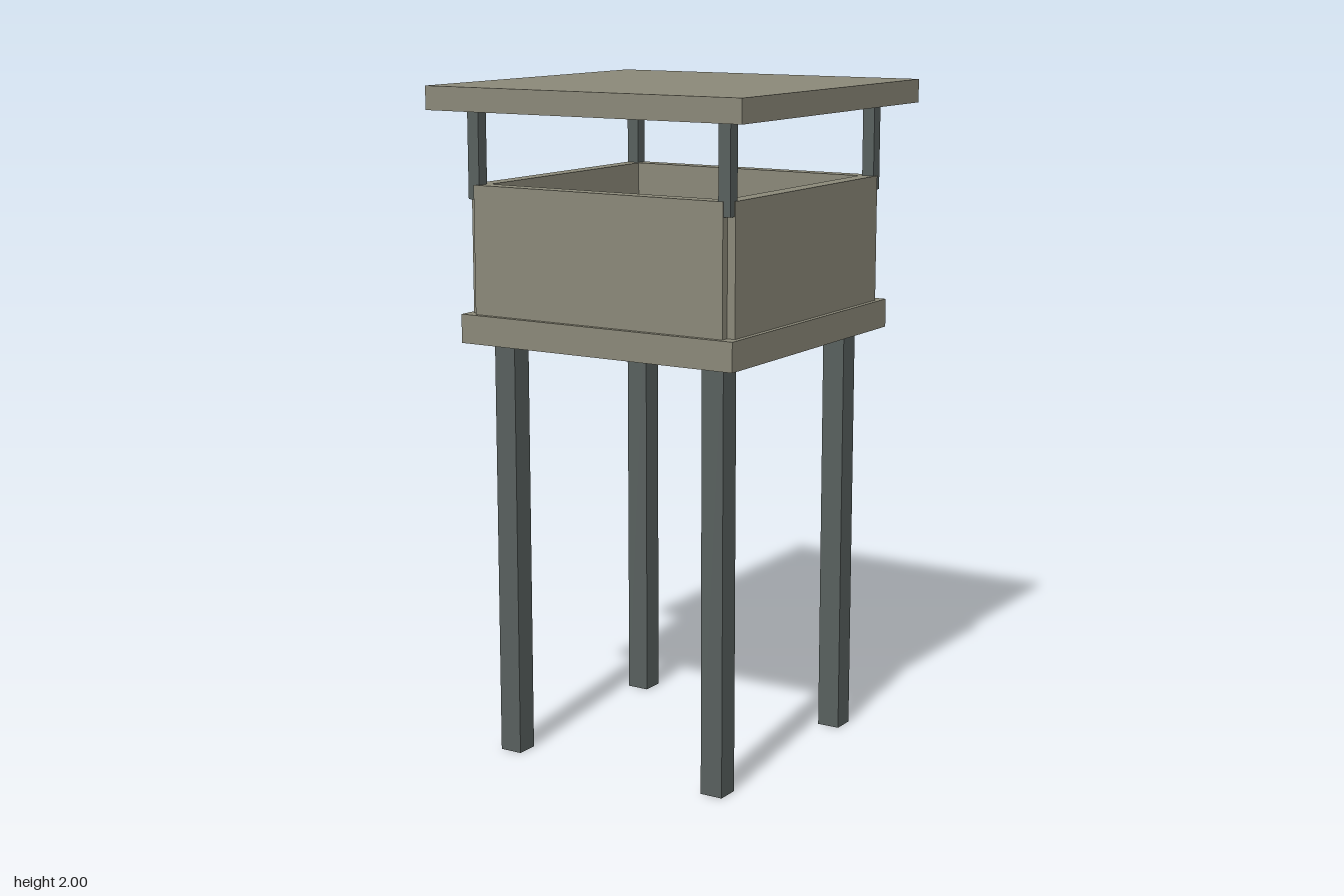
import * as THREE from 'three';

export function createModel() {
  const model = new THREE.Group();
  model.name = 'watchtower';

  const boards = new THREE.MeshStandardMaterial({ color: 0x8b8979 });
  boards.name = 'weathered boards';
  const timber = new THREE.MeshStandardMaterial({ color: 0x58605e });
  timber.name = 'dark timber';

  // Box of square plan, spanning bottom to top
  function block(name, material, width, bottom, top, x = 0, z = 0) {
    const mesh = new THREE.Mesh(new THREE.BoxGeometry(width, top - bottom, width), material);
    mesh.name = name;
    mesh.position.set(x, (bottom + top) / 2, z);
    model.add(mesh);
  }

  block('platform', boards, 0.915, 1.255, 1.34);
  block('roof', boards, 1.044, 1.931, 2);

  // Legs poke through the platform; roof posts stand in the wall corners
  for (const sx of [-1, 1]) {
    for (const sz of [-1, 1]) {
      block('leg', timber, 0.07, 0, 1.385, sx * 0.354, sz * 0.354);
      block('roofPost', timber, 0.038, 1.674, 1.932, sx * 0.419, sz * 0.419);
    }
  }

  // Four walls as one ring with notched outer corners
  const outer = 0.442, notch = 0.417, inner = 0.392;
  const outline = [];
  for (let i = 0; i < 4; i++) {
    const c = [1, 0, -1, 0][i], s = [0, 1, 0, -1][i];
    for (const [x, y] of [[outer, notch], [notch, notch], [notch, outer]]) {
      outline.push(new THREE.Vector2(x * c - y * s, x * s + y * c));
    }
  }
  const plan = new THREE.Shape(outline);
  plan.holes.push(new THREE.Path([[-1, -1], [-1, 1], [1, 1], [1, -1]].map(
    ([x, y]) => new THREE.Vector2(x * inner, y * inner))));
  const wallGeometry = new THREE.ExtrudeGeometry(plan, { depth: 1.716 - 1.34, bevelEnabled: false });
  wallGeometry.rotateX(-Math.PI / 2);
  const walls = new THREE.Mesh(wallGeometry, boards);
  walls.name = 'walls';
  walls.position.y = 1.34;
  model.add(walls);

  return model;
}
